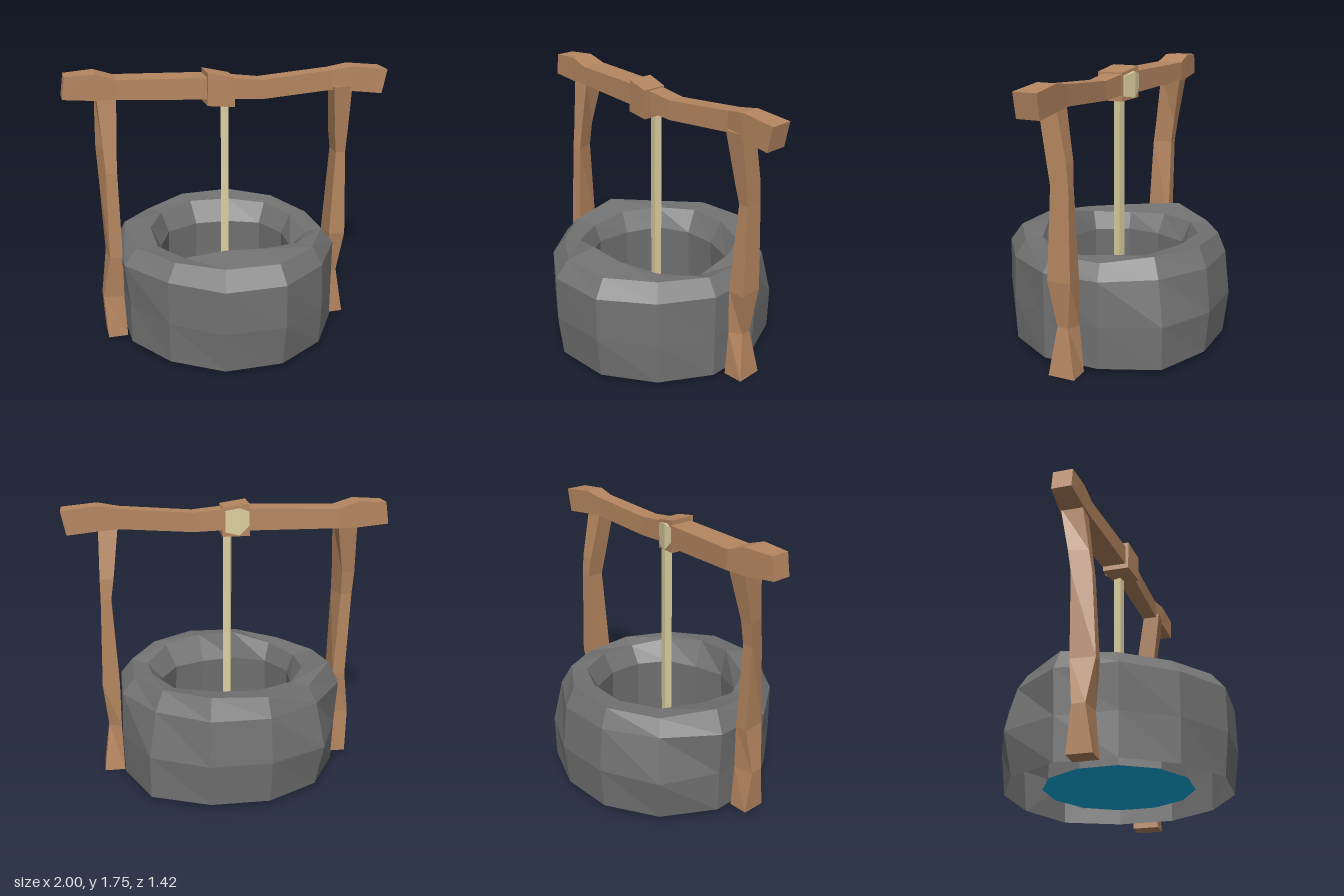
import * as THREE from 'three';

const material = (color, side = THREE.FrontSide) =>
  new THREE.MeshStandardMaterial({ color, side, flatShading: true, roughness: 1 });

// Skin a list of equal-length closed rings, optionally capping both ends
function loft(rings, caps = true) {
  const pos = [];
  const tri = (a, b, c) => pos.push(...a, ...b, ...c);
  const n = rings[0].length;
  for (let i = 0; i < rings.length - 1; i++) {
    for (let j = 0; j < n; j++) {
      const k = (j + 1) % n;
      const [a, b, c, d] = [rings[i][j], rings[i][k], rings[i + 1][k], rings[i + 1][j]];
      tri(a, b, d);
      tri(b, c, d);
    }
  }
  if (caps) {
    const first = rings[0], last = rings[rings.length - 1];
    for (let j = 1; j < n - 1; j++) {
      tri(first[0], first[j + 1], first[j]);
      tri(last[0], last[j], last[j + 1]);
    }
  }
  const geo = new THREE.BufferGeometry();
  geo.setAttribute('position', new THREE.Float32BufferAttribute(pos, 3));
  geo.computeVertexNormals();
  return geo;
}

// Upright timber: sections are [y, x0, x1, z0, z1, pinch of outer face, shift of back and front in x]
const upright = (sections, side) => loft(sections.map(([y, x0, x1, z0, z1, pinch = 0, shift = 0]) => {
  const p0 = side < 0 ? pinch : 0, p1 = side > 0 ? pinch : 0;
  return [[x0 + shift, y, z1 - p0], [x1, y, z1 - p1], [x1 - shift, y, z0 + p1], [x0, y, z0 + p0]];
}));

// Lengthwise timber: sections are [x, y0, y1, z0, z1, lean of the top edge along x]
const lengthwise = (sections) => loft(sections.map(([x, y0, y1, z0, z1, lean = 0]) =>
  [[x, y0, z0], [x + lean, y1, z0], [x + lean, y1, z1], [x, y0, z1]]));

export function createModel() {
  const group = new THREE.Group();
  const wood = material(0xb58660);
  const stone = material(0x727272, THREE.DoubleSide);
  const ropeTan = material(0xdccfa0);
  const add = (name, geo, mat) => {
    const mesh = new THREE.Mesh(geo, mat);
    mesh.name = name;
    group.add(mesh);
    return mesh;
  };

  // Stone wall: twelve uneven columns, open underneath; radii and heights per column
  const footR = [0.70, 0.69, 0.70, 0.70, 0.75, 0.70, 0.70, 0.71, 0.71, 0.70, 0.68, 0.70];
  const waistR = [0.735, 0.70, 0.70, 0.71, 0.755, 0.73, 0.73, 0.77, 0.72, 0.70, 0.69, 0.73];
  const shoulderR = [0.73, 0.69, 0.70, 0.70, 0.69, 0.70, 0.70, 0.70, 0.74, 0.73, 0.69, 0.73];
  const rimR = [0.65, 0.62, 0.62, 0.62, 0.62, 0.64, 0.65, 0.64, 0.67, 0.64, 0.61, 0.64];
  const rimY = [0.70, 0.70, 0.69, 0.68, 0.71, 0.72, 0.71, 0.69, 0.73, 0.69, 0.69, 0.70];
  const lipR = [0.47, 0.51, 0.52, 0.50, 0.52, 0.50, 0.52, 0.52, 0.50, 0.50, 0.51, 0.46];
  const lipY = [0.73, 0.70, 0.66, 0.69, 0.69, 0.70, 0.70, 0.69, 0.69, 0.67, 0.68, 0.74];
  const shaftR = [0.39, 0.42, 0.42, 0.43, 0.45, 0.42, 0.43, 0.46, 0.43, 0.455, 0.46, 0.43];
  const row = (radii, height) => radii.map((r, j) => {
    const a = (15 + 30 * j) * Math.PI / 180;
    return [r * Math.sin(a), height[j] ?? height, r * Math.cos(a)];
  });
  add('stoneWall', loft([
    row(footR, 0.04),
    row(waistR, 0.31),
    row(shoulderR, 0.59),
    row(rimR, rimY),
    row(lipR, lipY),
    row(shaftR, 0.56),
    row(shaftR.map((r) => r + 0.02), 0.07),
  ], false), stone);

  // Water disc at the foot of the shaft
  const water = add('water', new THREE.CircleGeometry(0.465, 12, Math.PI / 12),
    material(0x08b2e8, THREE.DoubleSide));
  water.rotation.x = -Math.PI / 2;
  water.position.set(-0.015, 0.07, 0);

  // Crooked posts
  add('leftPost', upright([
    [0.005, 0.68, 0.81, -0.09, 0.08],
    [0.31, 0.69, 0.77, -0.07, 0.07, 0.035],
    [0.60, 0.69, 0.80, -0.07, 0.08],
    [1.17, 0.72, 0.785, -0.06, 0.055],
    [1.30, 0.70, 0.785, -0.05, 0.075],
    [1.62, 0.66, 0.78, 0.01, 0.125],
  ], 1), wood);
  add('rightPost', upright([
    [0.03, -0.815, -0.69, -0.07, 0.08],
    [0.31, -0.83, -0.70, -0.06, 0.06, 0.02],
    [0.60, -0.79, -0.70, -0.07, 0.08, 0, 0.01],
    [1.15, -0.81, -0.705, -0.07, 0.05, 0, 0.035],
    [1.30, -0.815, -0.70, -0.09, 0.03, 0, 0.035],
    [1.62, -0.80, -0.68, -0.15, -0.01],
  ], -1), wood);

  // Crossbeam, skewed towards the front at its left end
  add('crossbeam', lengthwise([
    [-1, 1.615, 1.75, -0.14, -0.015, 0.02],
    [-0.80, 1.60, 1.76, -0.155, 0],
    [-0.68, 1.60, 1.72, -0.16, 0.01],
    [-0.14, 1.585, 1.72, -0.08, 0.08],
    [0.02, 1.58, 1.71, -0.03, 0.09],
    [0.20, 1.57, 1.69, -0.01, 0.10],
    [0.65, 1.60, 1.725, 0, 0.10],
    [0.78, 1.59, 1.745, 0, 0.125],
    [0.97, 1.57, 1.72, 0, 0.148, 0.03],
  ]), wood);

  // Wooden collar around the beam, with the rope's knot behind it
  add('beamCollar', lengthwise([
    [-0.145, 1.55, 1.75, -0.075, 0.10, 0.005],
    [0.02, 1.54, 1.72, -0.035, 0.13],
  ]), wood);
  add('ropeKnot', lengthwise([
    [-0.145, 1.62, 1.70, -0.08, -0.02],
    [-0.08, 1.555, 1.72, -0.08, 0],
    [0.005, 1.57, 1.70, -0.045, 0],
  ]), ropeTan);

  // Rope hanging down to the water
  const rope = add('rope', new THREE.BoxGeometry(0.048, 1.51, 0.048), ropeTan);
  rope.position.set(-0.013, 0.83, 0);
  rope.rotation.y = -0.25;

  return group;
}
